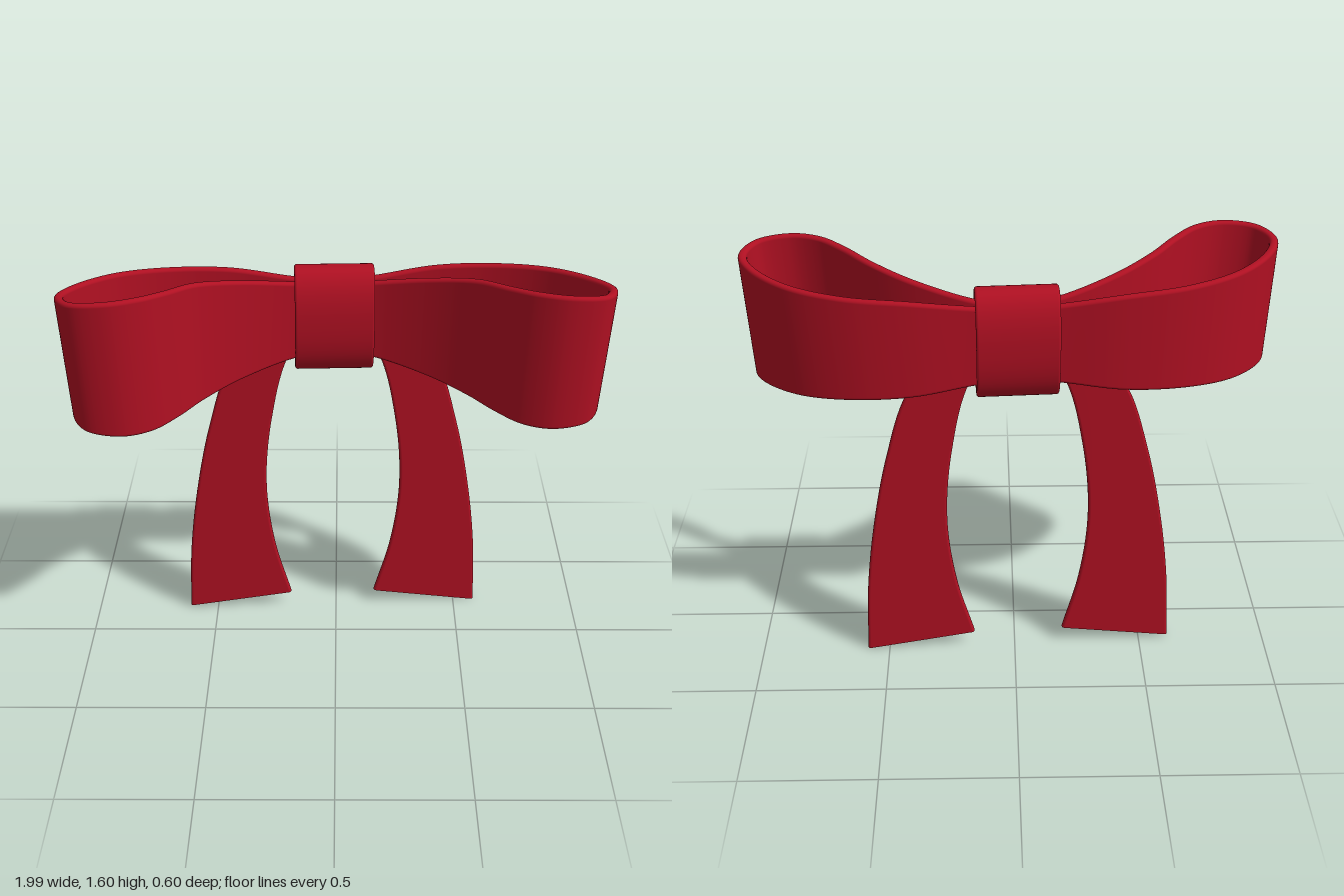
import * as THREE from 'three';

const material = new THREE.MeshStandardMaterial({ color: 0xb01022, roughness: 0.6 });
const X = new THREE.Vector3(1, 0, 0);
const Y = new THREE.Vector3(0, 1, 0);
const Z = new THREE.Vector3(0, 0, 1);

// Rounded-rectangle outline, counter-clockwise, with half sizes a and b
function outline(a, b) {
  const r = 0.8 * Math.min(a, b), pts = [];
  [[1, 1], [-1, 1], [-1, -1], [1, -1]].forEach(([sx, sy], k) => {
    for (let i = 0; i <= 4; i++) {
      const t = (k + i / 4) * Math.PI / 2;
      pts.push([sx * (a - r) + r * Math.cos(t), sy * (b - r) + r * Math.sin(t)]);
    }
  });
  return pts;
}

// Skin a row of frames { c, u, v, a, b }, where u x v points along the row
function ribbon(frames, { closed = false, warp = p => p } = {}) {
  const pos = [], index = [];
  const rings = frames.map(({ c, u, v, a, b }) => outline(a, b).map(([s, t]) =>
    warp(c.clone().addScaledVector(u, s).addScaledVector(v, t))));
  const n = rings[0].length, m = rings.length;
  rings.forEach(ring => ring.forEach(p => pos.push(p.x, p.y, p.z)));
  for (let i = 0; i < (closed ? m : m - 1); i++) {
    for (let j = 0; j < n; j++) {
      const i2 = (i + 1) % m, j2 = (j + 1) % n;
      const p = i * n + j, q = i * n + j2, r = i2 * n + j2, s = i2 * n + j;
      index.push(p, q, r, p, r, s);
    }
  }
  // Flat end caps with their own vertices
  if (!closed) [rings[0], rings[m - 1]].forEach((ring, end) => {
    const base = pos.length / 3;
    ring.forEach(p => pos.push(p.x, p.y, p.z));
    for (let j = 1; j < n - 1; j++) {
      if (end) index.push(base, base + j, base + j + 1);
      else index.push(base, base + j + 1, base + j);
    }
  });
  const g = new THREE.BufferGeometry();
  g.setAttribute('position', new THREE.Float32BufferAttribute(pos, 3));
  g.setIndex(index);
  g.computeVertexNormals();
  return g;
}

// Mirrored copy across x = 0, with the winding put right
function mirrored(geometry) {
  const g = geometry.clone();
  const p = g.attributes.position, idx = g.index;
  for (let i = 0; i < p.count; i++) p.setX(i, -p.getX(i));
  for (let i = 0; i < idx.count; i += 3) {
    const t = idx.getX(i + 1);
    idx.setX(i + 1, idx.getX(i + 2));
    idx.setX(i + 2, t);
  }
  g.computeVertexNormals();
  return g;
}

// Loop: outer path from the back of the knot round the tip to its front;
// the middle number is the half height of the ribbon there
function loopGeometry() {
  const path = new THREE.CatmullRomCurve3([
    [0, 0.14, -0.04], [0.148, 0.152, -0.048], [0.39, 0.185, -0.062], [0.618, 0.2, -0.035],
    [0.815, 0.215, 0.05], [0.957, 0.23, 0.197], [1.0, 0.243, 0.32], [0.946, 0.255, 0.427],
    [0.814, 0.265, 0.456], [0.696, 0.264, 0.415], [0.6, 0.252, 0.33], [0.505, 0.235, 0.225],
    [0.36, 0.2, 0.127], [0.143, 0.155, 0.041], [0, 0.14, 0.025],
  ].map(p => new THREE.Vector3(...p)));
  const half = 0.016, frames = [];
  for (let i = 0; i <= 110; i++) {
    const p = path.getPoint(i / 110);
    const t = path.getTangent(i / 110).setY(0).normalize();
    const u = Y.clone().cross(t);
    const c = new THREE.Vector3(p.x, 1.34, p.z).addScaledVector(u, -half);
    frames.push({ c, u, v: Y, a: half, b: p.y });
  }
  // The lower edge is drawn in slightly
  const warp = p => {
    const k = 1 - 0.03 * (1.605 - p.y) / 0.53;
    return p.set(p.x * k, p.y, p.z * k);
  };
  return ribbon(frames, { warp });
}

// Tail: flat ribbon between an inner and an outer edge curve
function tailGeometry() {
  const edge = pts => new THREE.CatmullRomCurve3(pts.map(([x, y]) => new THREE.Vector3(x, y, 0)));
  const inner = edge([[0.04, 1.35], [0.17, 1.19], [0.245, 0.9], [0.27, 0.6], [0.24, 0.32], [0.175, 0.07]]);
  const outer = edge([[0.18, 1.43], [0.4, 1.15], [0.49, 0.88], [0.552, 0.58], [0.588, 0.3], [0.602, 0.012]]);
  const frames = [];
  for (let i = 0; i <= 48; i++) {
    const p = inner.getPoint(i / 48), q = outer.getPoint(i / 48);
    const u = q.clone().sub(p);
    const a = u.length() / 2;
    frames.push({ c: p.add(q).multiplyScalar(0.5), u: u.normalize(), v: Z, a, b: 0.014 });
  }
  return ribbon(frames);
}

// Knot: band wrapped round the middle
function knotGeometry() {
  const half = 0.012, frames = [], steps = 64;
  const bulge = w => Math.sign(w) * Math.pow(Math.abs(w), 0.86);
  const at = t => new THREE.Vector3(0, 1.34 + 0.198 * bulge(Math.cos(t)), -0.088 * bulge(Math.sin(t)));
  for (let i = 0; i < steps; i++) {
    const t = i / steps * Math.PI * 2;
    const tangent = at(t + 0.03).sub(at(t - 0.03)).normalize();
    frames.push({ c: at(t), u: X.clone().cross(tangent), v: X, a: half, b: 0.15 });
  }
  return ribbon(frames, { closed: true });
}

export function createModel() {
  const model = new THREE.Group();
  model.name = 'ribbonBow';
  const bow = new THREE.Group();
  bow.name = 'bow';
  const add = (name, geometry) => {
    const mesh = new THREE.Mesh(geometry, material);
    mesh.name = name;
    bow.add(mesh);
  };
  const loop = loopGeometry(), tail = tailGeometry();
  add('leftLoop', loop);
  add('rightLoop', mirrored(loop));
  add('leftTail', tail);
  add('rightTail', mirrored(tail));
  add('knot', knotGeometry());
  // The whole bow is turned and tipped a little
  bow.position.set(-0.015, 0, -0.2);
  bow.rotation.set(0, 0.05, -0.006);
  model.add(bow);
  return model;
}
